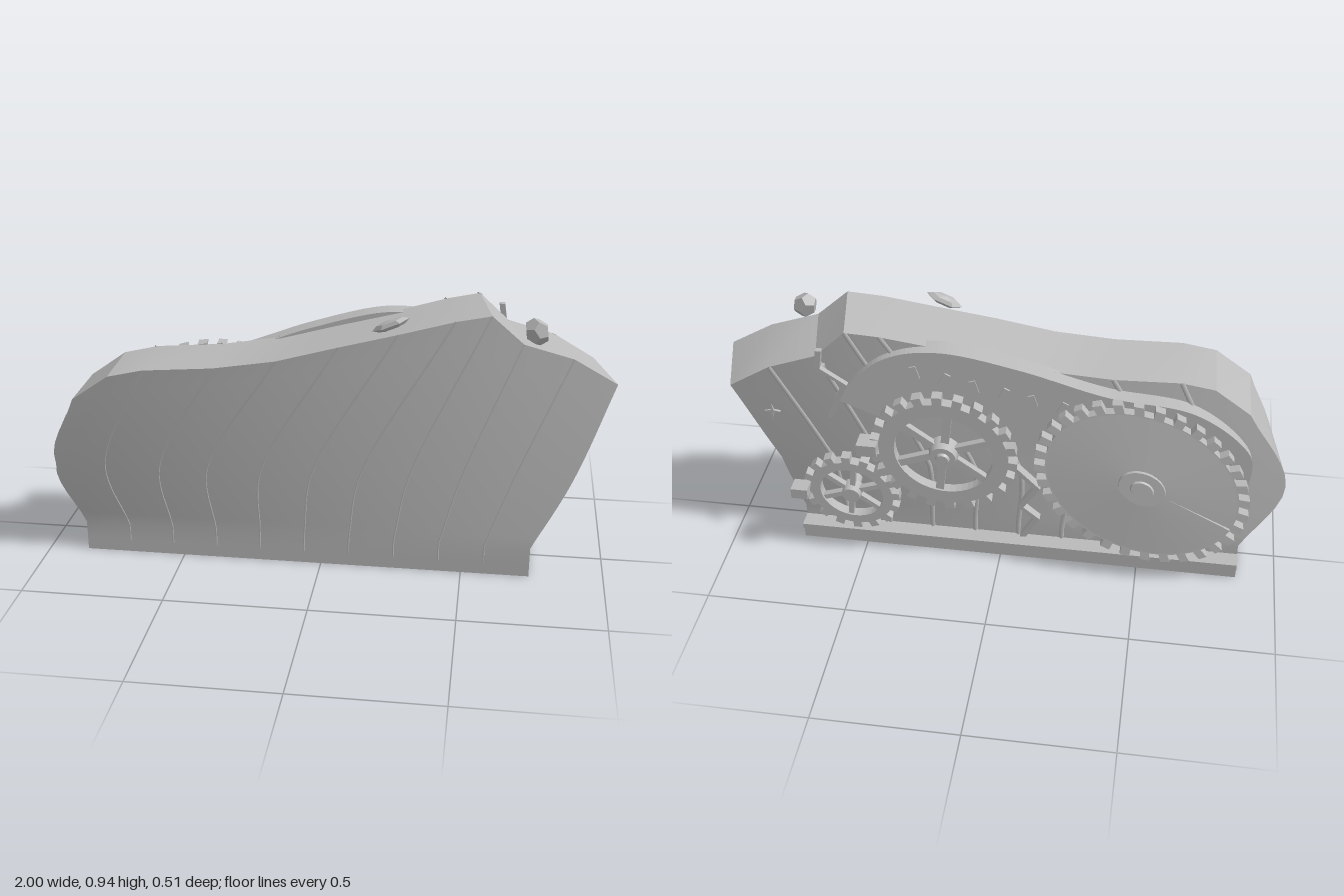
import * as THREE from 'three';
import { toCreasedNormals } from 'three/addons/utils/BufferGeometryUtils.js';

const stone = new THREE.MeshStandardMaterial({ color: 0xbababa });
stone.name = 'grey';

// Body columns: x at the foot, x at mid height, x and y at the top
const columns = [
  [-0.86, -1.0, -0.85, 0.625], [-0.78, -0.88, -0.72, 0.715], [-0.7, -0.765, -0.6, 0.74],
  [-0.54, -0.57, -0.36, 0.75], [-0.38, -0.4, -0.15, 0.777], [-0.22, -0.21, 0.06, 0.828],
  [-0.06, -0.03, 0.26, 0.873], [0.1, 0.14, 0.45, 0.918], [0.26, 0.31, 0.57, 0.937],
  [0.42, 0.49, 0.68, 0.84], [0.58, 0.67, 0.85, 0.79], [0.74, 0.87, 1.0, 0.705],
];
const ROWS = 12;

// The front and back faces lean more and more with height, like a twisted slab
const rise = (y) => Math.max(0, y - 0.11);
const frontZ = (x, y) => 0.165 + rise(y) * (0.03 - 0.175 * x);
const backZ = (x, y) => -0.087 + rise(y) * (0.025 - 0.185 * x);

function rails([foot, mid, topX, topY]) {
  const curve = new THREE.CatmullRomCurve3([
    new THREE.Vector3(foot, 0.11, 0), new THREE.Vector3(mid, 0.36, 0), new THREE.Vector3(topX, topY, 0)]);
  const pts = [new THREE.Vector3(foot, 0.045, 0), ...curve.getPoints(ROWS)];
  const k = (foot + 0.86) / 1.6;
  const front = [], back = [];
  for (const { x, y } of pts) {
    const ramp = Math.min(1, rise(y) / 0.25);
    const endShift = foot < -0.85 ? 0.06 * ramp * Math.min(1, 1 - (y - 0.36) / 0.27) : 0;
    front.push(new THREE.Vector3(x + endShift, y, frontZ(x, y)));
    back.push(new THREE.Vector3(x - 0.07 * k * ramp, y, backZ(x, y)));
  }
  return { front, back };
}

function bodyGeometry(sections) {
  const pos = [];
  const quad = (a, b, c, d) => [a, b, c, a, c, d].forEach((p) => pos.push(p.x, p.y, p.z));
  const loops = sections.map((s) => [...s.front, ...s.back.slice().reverse()]);
  for (let i = 0; i < loops.length - 1; i++)
    for (let j = 0; j < loops[i].length - 1; j++)
      quad(loops[i][j], loops[i + 1][j], loops[i + 1][j + 1], loops[i][j + 1]);
  const first = sections[0], last = sections[sections.length - 1];
  for (let j = 0; j < first.front.length - 1; j++) {
    quad(last.front[j], last.back[j], last.back[j + 1], last.front[j + 1]);
    quad(first.back[j], first.front[j], first.front[j + 1], first.back[j + 1]);
  }
  const g = new THREE.BufferGeometry();
  g.setAttribute('position', new THREE.Float32BufferAttribute(pos, 3));
  return toCreasedNormals(g, 0.35);
}

export function createModel() {
  const root = new THREE.Group();
  const add = (name, geometry, parent = root) => {
    const m = new THREE.Mesh(geometry, stone);
    m.name = name;
    parent.add(m);
    return m;
  };
  const box = (name, w, h, d, x, y, z, parent = root) => {
    const m = add(name, new THREE.BoxGeometry(w, h, d), parent);
    m.position.set(x, y, z);
    return m;
  };
  // Disc or cone whose narrow end faces the back
  const disc = (name, rBack, rFront, zBack, zFront, parent, sides = 24) => {
    const g = new THREE.CylinderGeometry(rBack, rFront, zFront - zBack, sides).rotateX(-Math.PI / 2);
    return add(name, g.translate(0, 0, (zBack + zFront) / 2), parent);
  };
  const plate = (name, shape, zBack, zFront, parent = root, curveSegments = 10) => add(name,
    new THREE.ExtrudeGeometry(shape, { depth: zFront - zBack, bevelEnabled: false, curveSegments })
      .translate(0, 0, zBack), parent);

  // Base and ledge
  box('base', 1.6, 0.05, 0.3, -0.06, 0.025, 0.015);
  box('backLedge', 1.6, 0.02, 0.09, -0.06, 0.06, -0.105);

  // Twisted body with its seams and back ribs
  const sections = columns.map(rails);
  add('body', bodyGeometry(sections));
  sections.slice(2, -1).forEach(({ front, back }) => {
    add('frontSeam', new THREE.TubeGeometry(new THREE.CatmullRomCurve3(front), 24, 0.003, 4));
    add('backRib', new THREE.TubeGeometry(new THREE.CatmullRomCurve3(back), 24, 0.009, 4));
  });

  // Curved cover plate behind the gears
  const cover = new THREE.Shape();
  cover.moveTo(0.2, 0.5);
  cover.lineTo(0.58, 0.68);
  cover.splineThru([[0.42, 0.84], [0.22, 0.88], [-0.05, 0.82], [-0.35, 0.72], [-0.65, 0.66], [-0.85, 0.5], [-0.86, 0.34]]
    .map(([x, y]) => new THREE.Vector2(x, y)));
  cover.lineTo(-0.5, 0.4);
  const coverPlate = plate('coverPlate', cover, -0.125, -0.05);
  coverPlate.rotation.y = 0.09;
  for (let i = 0; i < 6; i++)
    box('coverSlot', 0.022, 0.05, 0.008, 0.3 - i * 0.1, 0.8 - i * 0.026, -0.127, coverPlate)
      .rotation.z = i % 2 ? 0.5 : -0.3;

  // Gears on the back, drawn out along a slanted axis and leaning with the body
  function gear(name, [x, y, z], pitch, r, [along, across], teeth, toothDepth, spokes) {
    const g = new THREE.Group();
    g.name = name;
    g.position.set(x, y, z);
    g.rotation.set(pitch, 0.05, 0.47);
    g.scale.set(along, across, 1);
    root.add(g);
    const rim = r - toothDepth;
    const outline = [];
    for (let i = 0; i < teeth; i++)
      [[0, rim], [0.5, rim], [0.52, r], [0.98, r]].forEach(([f, rad]) => {
        const a = ((i + f) / teeth) * Math.PI * 2;
        outline.push(new THREE.Vector2(Math.cos(a) * rad, Math.sin(a) * rad));
      });
    const shape = new THREE.Shape(outline);
    if (spokes) {
      const hole = new THREE.Path();
      hole.absarc(0, 0, rim * 0.76, 0, Math.PI * 2, true);
      shape.holes.push(hole);
    }
    plate(name + 'Rim', shape, -0.02, 0.02, g, 24);
    for (let i = 0; i < spokes / 2; i++)
      box('spoke', rim * 1.6, r * 0.11, 0.024, 0, 0, 0, g).rotation.z = (i * 2 * Math.PI) / spokes + 0.2;
    disc('axle', r * 0.13, r * 0.13, 0, -z - 0.03, g, 12);
    return g;
  }

  const large = gear('largeGear', [-0.5, 0.41, -0.15], 0.1, 0.35, [1.13, 0.84], 32, 0.035, 0);
  disc('dish', 0.08, 0.31, -0.032, -0.02, large, 40);
  disc('hub', 0.075, 0.08, -0.042, -0.02, large);
  disc('hubCap', 0.035, 0.04, -0.05, -0.04, large);
  box('dishBar', 0.24, 0.012, 0.012, -0.19, 0, -0.026, large);

  const middle = gear('middleGear', [0.19, 0.495, -0.18], 0, 0.25, [1.05, 0.94], 22, 0.03, 6);
  disc('hub', 0.045, 0.055, -0.04, 0.02, middle, 16);
  disc('hubCap', 0.02, 0.025, -0.05, -0.04, middle, 12);
  box('gearPeg', 0.07, 0.045, 0.07, 0.45, 0.52, -0.215);

  const small = gear('smallGear', [0.53, 0.28, -0.175], 0, 0.165, [1.08, 0.93], 16, 0.024, 6);
  disc('hub', 0.03, 0.036, -0.035, 0.02, small, 14);
  box('gearPeg', 0.06, 0.04, 0.06, 0.71, 0.29, -0.21);

  // Jagged bolts hung on the back
  const bolt = (name, points, w, zBack, zFront) => {
    const left = points.map(([x, y]) => new THREE.Vector2(x - w, y));
    const right = points.map(([x, y]) => new THREE.Vector2(x + w, y)).reverse();
    plate(name, new THREE.Shape([...left, ...right]), zBack, zFront);
  };
  bolt('upperBolt', [[0.6, 0.89], [0.61, 0.82], [0.52, 0.76], [0.58, 0.62]], 0.01, -0.205, -0.185);
  box('boltPin', 0.02, 0.02, 0.08, 0.605, 0.8, -0.15);
  bolt('lowerBolt', [[-0.04, 0.4], [-0.13, 0.31], [-0.07, 0.22], [-0.13, 0.17], [-0.08, 0.08]], 0.011, -0.115, -0.08);

  // Small star on the back
  const star = new THREE.Shape(Array.from({ length: 8 }, (_, i) => {
    const r = i % 2 ? 0.007 : 0.028;
    return new THREE.Vector2(Math.cos(i * Math.PI / 4) * r, Math.sin(i * Math.PI / 4) * r);
  }));
  plate('star', star, -0.008, 0.004).position.set(0.8, 0.59, backZ(0.86, 0.59));

  // Pebble and leaf on the top edge
  const pebble = add('pebble', new THREE.DodecahedronGeometry(0.048, 0));
  pebble.scale.set(0.9, 1.05, 0.65);
  pebble.rotation.z = 0.6;
  pebble.position.set(0.72, 0.883, 0.085);
  const leaf = add('leaf', toCreasedNormals(new THREE.SphereGeometry(0.06, 6, 4), 0.3));
  leaf.scale.set(1.12, 0.28, 0.48);
  leaf.rotation.z = 0.4;
  leaf.position.set(0.235, 0.907, 0.148);

  return root;
}
